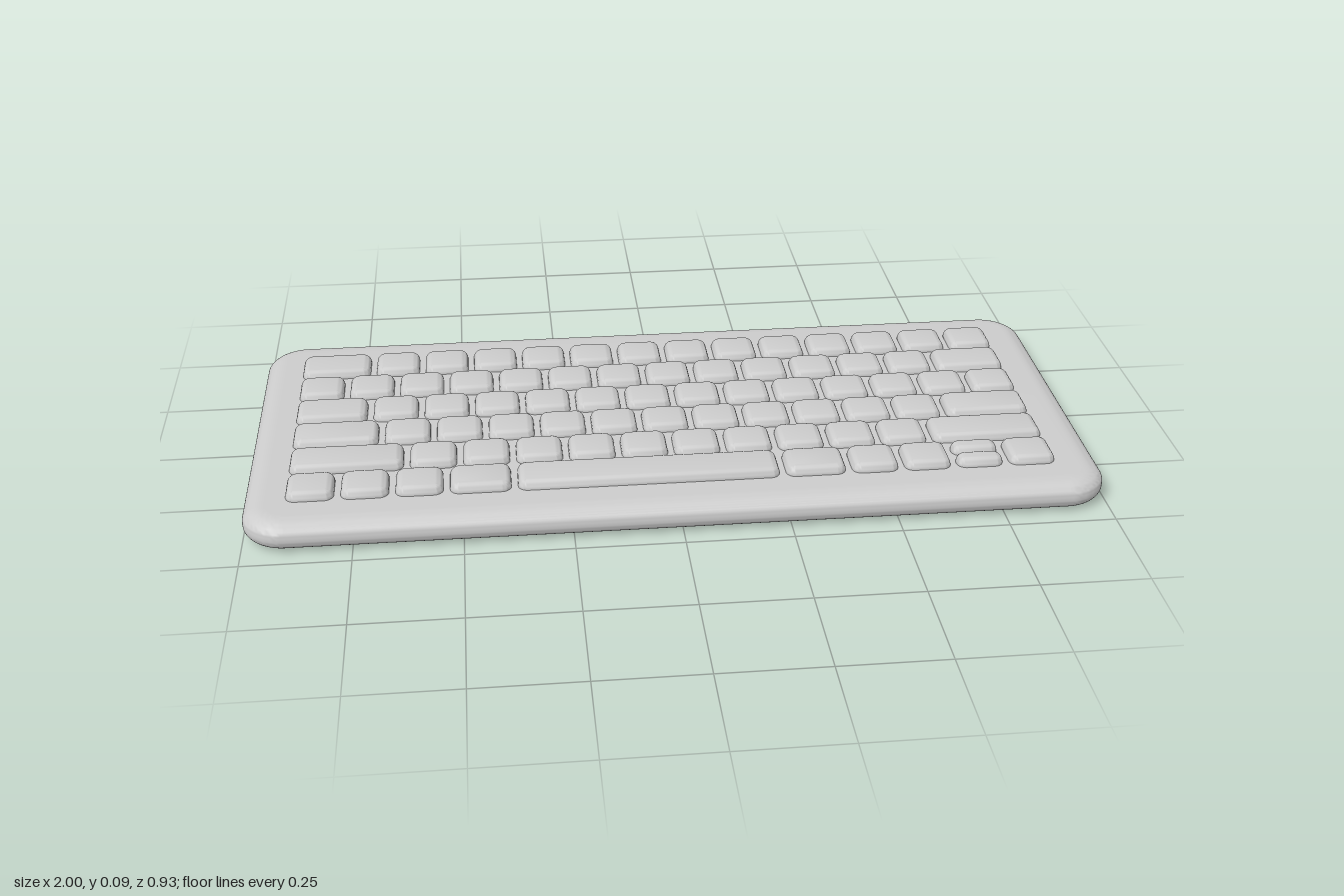
import * as THREE from 'three';
import { toCreasedNormals } from 'three/addons/utils/BufferGeometryUtils.js';

const material = new THREE.MeshStandardMaterial({ color: 0xcccccc });

// Slab with rounded corners and softened edges, lying flat with its bottom at y = 0.
function softSlab(width, height, depth, corner, edge, edgeHeight, segments) {
  const x = width / 2 - edge, y = depth / 2 - edge, r = corner - edge;
  const shape = new THREE.Shape();
  shape.absarc(x - r, y - r, r, 0, Math.PI / 2);
  shape.absarc(-x + r, y - r, r, Math.PI / 2, Math.PI);
  shape.absarc(-x + r, -y + r, r, Math.PI, Math.PI * 1.5);
  shape.absarc(x - r, -y + r, r, Math.PI * 1.5, Math.PI * 2);
  const geometry = new THREE.ExtrudeGeometry(shape, {
    depth: height - 2 * edgeHeight,
    bevelSize: edge,
    bevelThickness: edgeHeight,
    bevelSegments: segments,
    curveSegments: segments,
  });
  geometry.translate(0, 0, edgeHeight).rotateX(-Math.PI / 2);
  return toCreasedNormals(geometry, 0.7);
}

const UNIT = 1.81 / 14.5;   // width of one key with its gap
const GAP = 0.015;
const ROW_PITCH = 0.121;
const KEY_DEPTH = 0.108;
const KEY_HEIGHT = 0.046;
const KEY_BOTTOM = 0.048;   // keys sit partly inside the case

const ones = (n) => Array(n).fill(1);

// Key widths in units, from the back row to the front row; 'split' is a pair of half-depth keys.
const ROWS = [
  ['functionRow', [1.5, ...ones(13)]],
  ['numberRow', [...ones(13), 1.5]],
  ['upperLetterRow', [1.5, ...ones(13)]],
  ['homeRow', [1.75, ...ones(11), 1.75]],
  ['lowerLetterRow', [2.25, ...ones(10), 2.25]],
  ['spaceRow', [1, 1, 1, 1.25, 5, 1.25, 1, 1, 'split', 1]],
];

const geometries = {};
function addKey(row, name, units, x, z, depth = KEY_DEPTH) {
  const id = `${units}-${depth}`;
  geometries[id] ??= softSlab(units * UNIT - GAP, KEY_HEIGHT, depth, 0.023, 0.018, 0.019, 5);
  const key = new THREE.Mesh(geometries[id], material);
  key.name = name;
  key.position.set(x, KEY_BOTTOM, z);
  row.add(key);
}

export function createModel() {
  const keyboard = new THREE.Group();
  keyboard.name = 'keyboard';

  // Case
  const body = new THREE.Mesh(softSlab(2, 0.073, 0.926, 0.1, 0.05, 0.032, 10), material);
  body.name = 'case';
  keyboard.add(body);

  // Six rows of keys
  ROWS.forEach(([name, widths], i) => {
    const row = new THREE.Group();
    row.name = name;
    row.position.z = (i - 2.5) * ROW_PITCH;
    let left = -0.91;
    for (const width of widths) {
      const units = width === 'split' ? 1 : width;
      const x = left + (units * UNIT) / 2;
      if (width === 'split') {
        addKey(row, 'upArrowKey', 1, x, -0.0285, 0.051);
        addKey(row, 'downArrowKey', 1, x, 0.0285, 0.051);
      } else {
        addKey(row, units === 5 ? 'spaceBar' : 'key', units, x, 0);
      }
      left += units * UNIT;
    }
    keyboard.add(row);
  });

  return keyboard;
}
